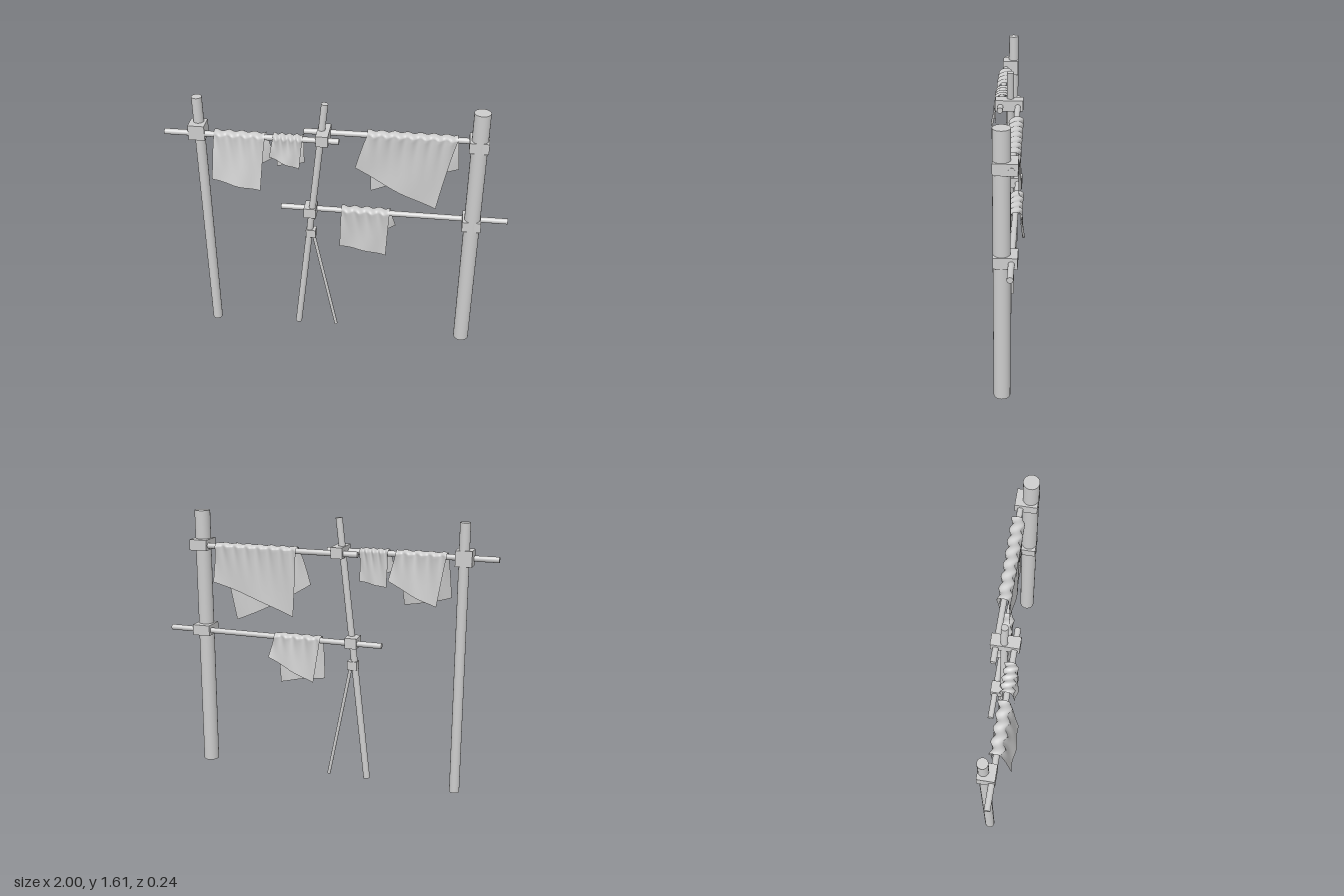
import * as THREE from 'three';

const grey = new THREE.MeshStandardMaterial({ color: 0xcccccc, side: THREE.DoubleSide });
grey.name = 'plain grey';

const lerp = THREE.MathUtils.lerp;

// Round pole between two points
function pole(name, a, b, radius) {
  const from = new THREE.Vector3(...a), to = new THREE.Vector3(...b);
  const dir = to.clone().sub(from);
  const mesh = new THREE.Mesh(new THREE.CylinderGeometry(radius, radius, dir.length(), 24), grey);
  mesh.position.copy(from).add(to).multiplyScalar(0.5);
  mesh.quaternion.setFromUnitVectors(new THREE.Vector3(0, 1, 0), dir.normalize());
  mesh.name = name;
  return mesh;
}

// Box given by its lower and upper corners
function clamp(name, lo, hi) {
  const mesh = new THREE.Mesh(new THREE.BoxGeometry(hi[0] - lo[0], hi[1] - lo[1], hi[2] - lo[2]), grey);
  mesh.position.set((lo[0] + hi[0]) / 2, (lo[1] + hi[1]) / 2, (lo[2] + hi[2]) / 2);
  mesh.name = name;
  return mesh;
}

// Cloth folded over a rail: front and back give the lower corners
// [left x, left y, right x, right y, z, sag]; diagonal pleats fade downward
function cloth(name, railY, railZ, top, front, back, pleats) {
  const nu = 64, nv = 56, arc = 0.25;
  const pos = [], index = [];
  for (let j = 0; j <= nv; j++) {
    const t = (j / nv) * 2 - 1;
    const side = t < 0 ? -1 : 1;
    const end = t < 0 ? back : front;
    const h = Math.max(0, (Math.abs(t) - arc) / (1 - arc));
    const angle = THREE.MathUtils.clamp(t / arc, -1, 1) * Math.PI / 2;
    for (let i = 0; i <= nu; i++) {
      const u = i / nu;
      const wave = Math.sin(2 * Math.PI * (u * pleats - t * 1.1));
      const fold = (0.5 + 0.5 * wave) * Math.pow(1 - h, 2);
      const depth = 0.024 + 0.018 * fold;
      const spread = Math.pow(h, 0.85);
      const x = lerp(lerp(top[0], top[1], u), lerp(end[0], end[2], u), spread);
      let y = railY + (0.02 + 0.006 * fold) * Math.cos(angle);
      let z = railZ + depth * Math.sin(angle);
      if (h > 0) {
        const bottom = lerp(end[1], end[3], u) - end[5] * Math.sin(Math.PI * u);
        y = lerp(railY, bottom, h);
        z = lerp(railZ + side * depth, end[4], h);
        z += 0.006 * h * Math.sin(u * 9 + h * 2 + side);
      }
      pos.push(x, y, z);
      if (i < nu && j < nv) {
        const a = j * (nu + 1) + i, b = a + nu + 1;
        index.push(a, b, a + 1, b, b + 1, a + 1);
      }
    }
  }
  const geo = new THREE.BufferGeometry();
  geo.setAttribute('position', new THREE.Float32BufferAttribute(pos, 3));
  geo.setIndex(index);
  geo.computeVertexNormals();
  const mesh = new THREE.Mesh(geo, grey);
  mesh.name = name;
  return mesh;
}

export function createModel() {
  const g = new THREE.Group();
  g.name = 'clothesLine';
  const frontZ = 0.034, backZ = -0.067, postZ = -0.015;

  g.add(
    // Upright posts
    pole('thinPost', [-0.81, 0, postZ], [-0.81, 1.61, postZ], 0.03),
    pole('thickPost', [0.79, 0, postZ], [0.79, 1.61, postZ], 0.047),
    // Leaning middle pole with its brace
    pole('leaningPole', [-0.267, 0.012, -0.023], [-0.082, 1.605, -0.023], 0.02),
    pole('brace', [-0.165, 0.74, -0.025], [-0.022, 0.008, -0.025], 0.01),
    // Horizontal rails
    pole('frontRail', [-1, 1.403, frontZ], [0.005, 1.403, frontZ], 0.017),
    pole('upperBackRail', [-0.21, 1.403, backZ], [0.845, 1.403, backZ], 0.017),
    pole('lowerRail', [-0.36, 0.875, backZ], [1, 0.875, backZ], 0.017),
    // Clamps where poles meet
    clamp('thinPostClamp', [-0.86, 1.365, -0.045], [-0.765, 1.455, 0.052]),
    clamp('thickPostUpperClamp', [0.732, 1.375, -0.1], [0.842, 1.44, 0.03]),
    clamp('thickPostLowerClamp', [0.732, 0.845, -0.1], [0.842, 0.91, 0.03]),
    clamp('poleUpperClamp', [-0.125, 1.377, -0.098], [-0.055, 1.442, 0.064]),
    clamp('poleLowerClamp', [-0.213, 0.847, -0.093], [-0.14, 0.91, 0.004]),
    clamp('braceClamp', [-0.203, 0.702, -0.05], [-0.143, 0.755, 0.002]),
    // Hanging cloths
    cloth('leftCloth', 1.405, frontZ, [-0.71, -0.415],
      [-0.725, 1.15, -0.445, 1.09, 0.115, 0.008], [-0.66, 1.115, -0.375, 1.25, -0.01, 0.01], 4),
    cloth('smallCloth', 1.405, frontZ, [-0.37, -0.2],
      [-0.39, 1.3, -0.22, 1.23, 0.08, 0.005], [-0.36, 1.205, -0.2, 1.235, 0.005, 0], 4),
    cloth('largeCloth', 1.405, backZ, [0.155, 0.67],
      [0.09, 1.2, 0.57, 0.95, -0.03, 0.015], [0.18, 1.01, 0.69, 1.19, -0.1, -0.01], 7),
    cloth('lowerCloth', 0.878, backZ, [0.008, 0.3],
      [0, 0.63, 0.285, 0.58, -0.033, -0.005], [0.05, 0.62, 0.335, 0.755, -0.115, 0.005], 4)
  );
  return g;
}
